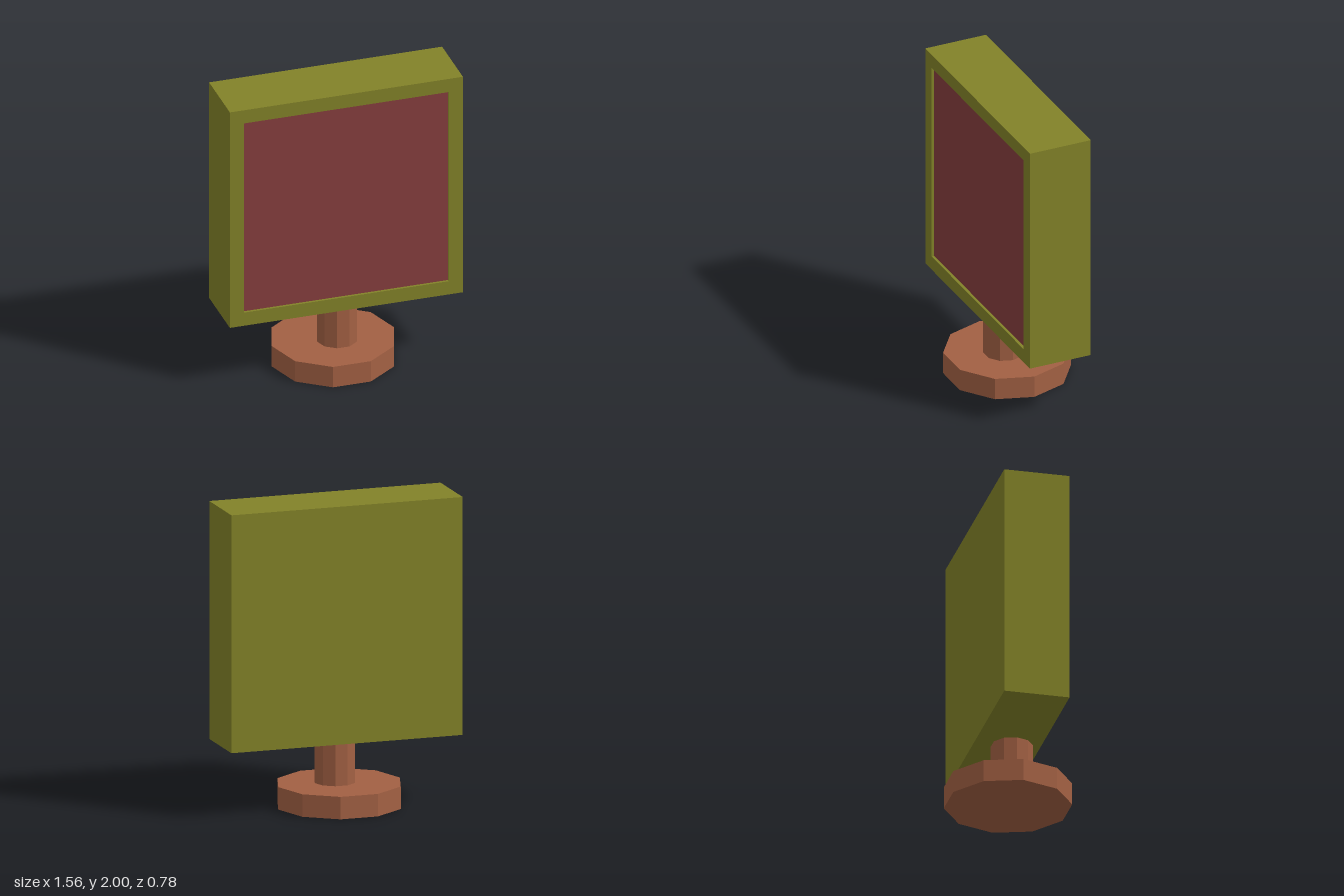
import * as THREE from 'three';

const material = (color) => new THREE.MeshStandardMaterial({ color, flatShading: true });

export function createModel() {
  const group = new THREE.Group();
  const olive = material(0x828228);
  const red = material(0x853d3d);
  const brown = material(0xa26043);

  const add = (name, geometry, mat, x, y, z) => {
    const mesh = new THREE.Mesh(geometry, mat);
    mesh.name = name;
    mesh.position.set(x, y, z);
    group.add(mesh);
  };

  // Ten-sided prism with corners on the x axis
  const prism = (radius, height) =>
    new THREE.CylinderGeometry(radius, radius, height, 10, 1, false, Math.PI / 2);

  // Stand
  add('base', prism(0.41, 0.147), brown, -0.02, 0.0735, 0);
  add('post', prism(0.135, 0.288), brown, -0.002, 0.291, 0.03);

  // Housing: solid body with a shallow bezel on its front
  const width = 1.56, height = 1.555, border = 0.095, recess = 0.02;
  const back = -0.212, front = 0.216, centreY = 2 - height / 2;
  const depth = front - recess - back;
  add('housing', new THREE.BoxGeometry(width, height, depth), olive, 0, centreY, back + depth / 2);

  const rectangle = (target, w, h) => target
    .moveTo(-w / 2, -h / 2).lineTo(w / 2, -h / 2)
    .lineTo(w / 2, h / 2).lineTo(-w / 2, h / 2).closePath();
  const outline = rectangle(new THREE.Shape(), width, height);
  outline.holes.push(rectangle(new THREE.Path(), width - 2 * border, height - 2 * border));
  add('bezel', new THREE.ExtrudeGeometry(outline, { depth: recess, bevelEnabled: false }),
    olive, 0, centreY, front - recess);

  // Screen set inside the bezel
  add('screen', new THREE.PlaneGeometry(width - 2 * border, height - 2 * border),
    red, 0, centreY, front - recess + 0.002);

  return group;
}
